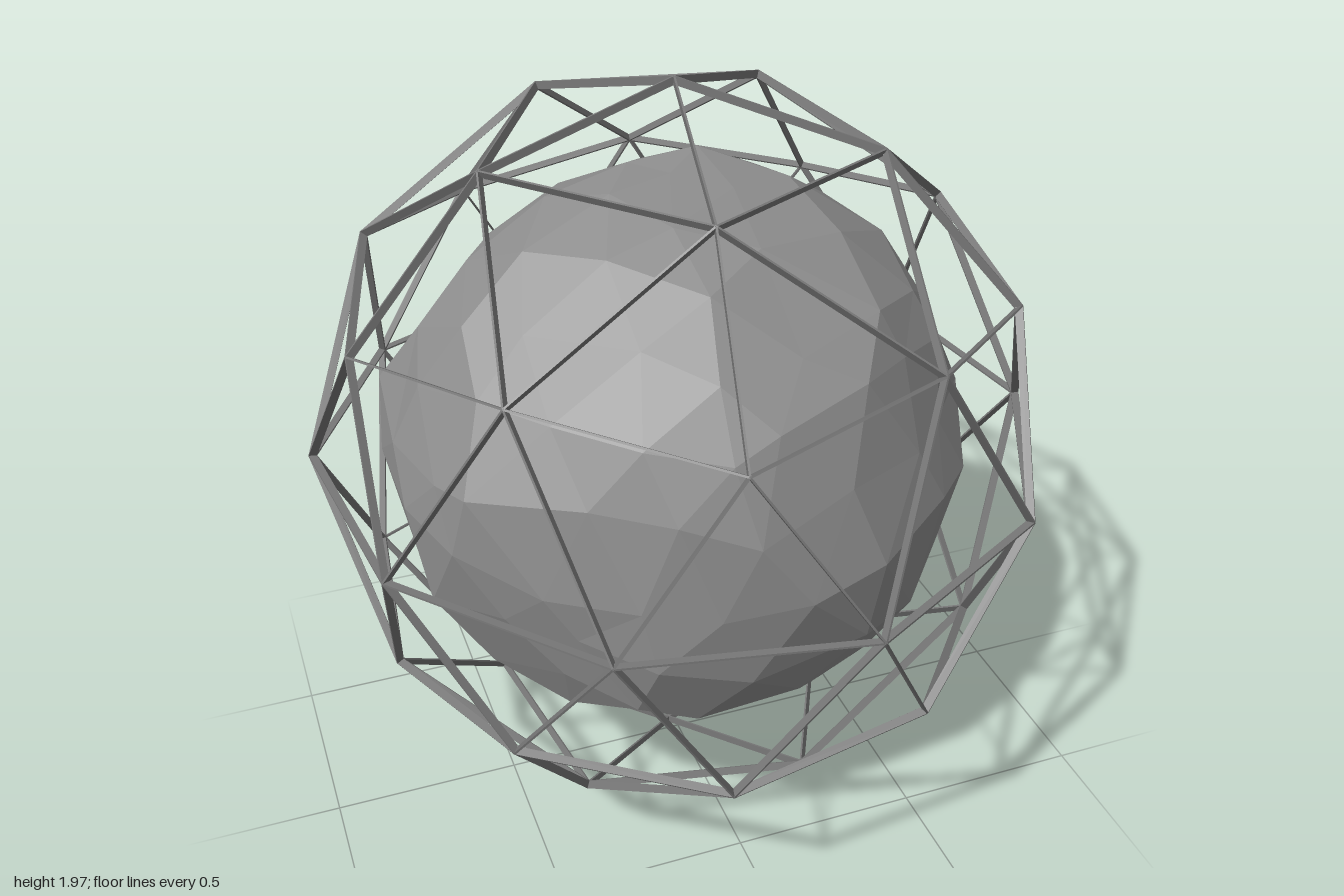
import * as THREE from 'three';
import { mergeGeometries } from 'three/addons/utils/BufferGeometryUtils.js';

const CENTRE_Y = 0.995;

const dirs = (rows) => rows.map(([x, y, z, size]) => ({ dir: new THREE.Vector3(x, y, z).normalize(), size }));

// Broad swellings of the core: direction, then height
const BUMPS = dirs([
  [-0.75, 0.2, -0.2, 0.035], [0.22, 0.75, 0, 0.025], [-0.17, 0.75, 0, 0.025],
  [-0.35, 0, -0.7, 0.03], [0.65, -0.4, 0, 0.03], [-0.1, 0, -0.77, 0.025],
  [-0.16, -0.43, 0.6, 0.025], [0.68, 0.32, 0, 0.025], [-0.45, -0.58, 0, 0.01],
]);

// Flat cuts across the core: direction, then distance from the middle
const CUTS = dirs([
  [-0.5, 0.55, 0.4, 0.7], [-0.15, -0.8, 0.5, 0.69], [-0.6, -0.2, 0.6, 0.7],
  [0.6, -0.2, -0.6, 0.7], [0.6, 0.3, 0.6, 0.71], [-0.6, 0.5, -0.5, 0.7],
  [0.4, 0.1, -0.6, 0.71], [0.7, 0, 0.02, 0.695], [0.04, 0.75, 0.1, 0.725],
  [0.3, -0.6, 0.5, 0.71], [-0.4, -0.5, -0.5, 0.71], [0.1, 0.6, 0.6, 0.72],
]);

// Icosphere turned so that one five-spoke corner is the top pole
function poleUpSphere(detail) {
  const geo = new THREE.IcosahedronGeometry(1, detail);
  const t = (1 + Math.sqrt(5)) / 2;
  const up = new THREE.Vector3(0, 1, 0);
  const pole = new THREE.Vector3(-1, t, 0).normalize();
  const q = new THREE.Quaternion().setFromUnitVectors(pole, up);
  geo.applyQuaternion(q);
  const ring = new THREE.Vector3(1, t, 0).normalize().applyQuaternion(q);
  geo.rotateY(Math.atan2(ring.z, ring.x) - THREE.MathUtils.degToRad(29));
  return geo;
}

// Slightly squashed, uneven shape of the cage, sagging at the lower back
function cagePoint({ x, y, z }) {
  const sag = y < -0.2 && z < -0.15 ? 0.045 : 0;
  return new THREE.Vector3(
    x * 0.945 - (y < 0 ? 0.02 * y * y : 0),
    y + 0.035 * (1 - y ** 4) - 0.065 * y * (1 - 0.8 * y * y)
      + 0.015 * (x + z) * (1 - y * y) ** 2 - sag,
    z * 1.005 - 0.045 * x * x - 0.025 * y * y
  );
}

// Thin strut between two corners, deep along the radius and narrow across it
function strut(a, b) {
  const width = 0.005, depth = 0.02;
  const along = b.clone().sub(a);
  const length = along.length();
  along.normalize();
  const mid = a.clone().add(b).multiplyScalar(0.5);
  const side = along.clone().cross(mid).normalize();
  const out = side.clone().cross(along).normalize();
  mid.addScaledVector(out, -depth / 2);
  return new THREE.BoxGeometry(width, length, depth)
    .applyMatrix4(new THREE.Matrix4().makeBasis(side, along, out).setPosition(mid));
}

function createCage() {
  const pos = poleUpSphere(1).attributes.position;
  const key = (p) => p.toArray().map((n) => Math.round(n * 1000) + 0).join();
  const seen = new Set();
  const struts = [];
  for (let f = 0; f < pos.count; f += 3) {
    for (let k = 0; k < 3; k++) {
      const a = new THREE.Vector3().fromBufferAttribute(pos, f + k);
      const b = new THREE.Vector3().fromBufferAttribute(pos, f + (k + 1) % 3);
      const id = [key(a), key(b)].sort().join('|');
      if (seen.has(id)) continue;
      seen.add(id);
      struts.push(strut(cagePoint(a), cagePoint(b)));
    }
  }
  const cage = new THREE.Mesh(mergeGeometries(struts), new THREE.MeshStandardMaterial({ color: 0x787878 }));
  cage.name = 'geodesicCage';
  return cage;
}

function createCore() {
  const geo = poleUpSphere(3);
  const pos = geo.attributes.position;
  const p = new THREE.Vector3();
  const jitter = (a, b, c) => Math.sin(a * p.x + b * p.y + c * p.z);
  for (let i = 0; i < pos.count; i++) {
    p.fromBufferAttribute(pos, i).normalize();
    // slide the corners sideways so that the facets become irregular
    const shift = new THREE.Vector3(jitter(31, 47, 19), jitter(23, -37, 41), jitter(-43, 17, 29));
    p.addScaledVector(shift, 0.05).normalize();
    let r = 0.74 + 0.014 * jitter(37, 21, -33);
    for (const { dir, size } of BUMPS) r += size * Math.exp((p.dot(dir) - 1) * 16);
    for (const { dir, size } of CUTS) {
      const facing = p.dot(dir);
      if (facing > 0.5) r = Math.min(r, size / facing);
    }
    p.multiplyScalar(r);
    pos.setXYZ(i, p.x - 0.01, p.y + 0.005, p.z - 0.005);
  }
  geo.computeVertexNormals();
  const core = new THREE.Mesh(geo, new THREE.MeshStandardMaterial({ color: 0x8f8f8f, flatShading: true }));
  core.name = 'rockyCore';
  return core;
}

export function createModel() {
  const model = new THREE.Group();
  model.name = 'cagedRock';
  for (const part of [createCage(), createCore()]) {
    part.position.y = CENTRE_Y;
    model.add(part);
  }
  return model;
}
